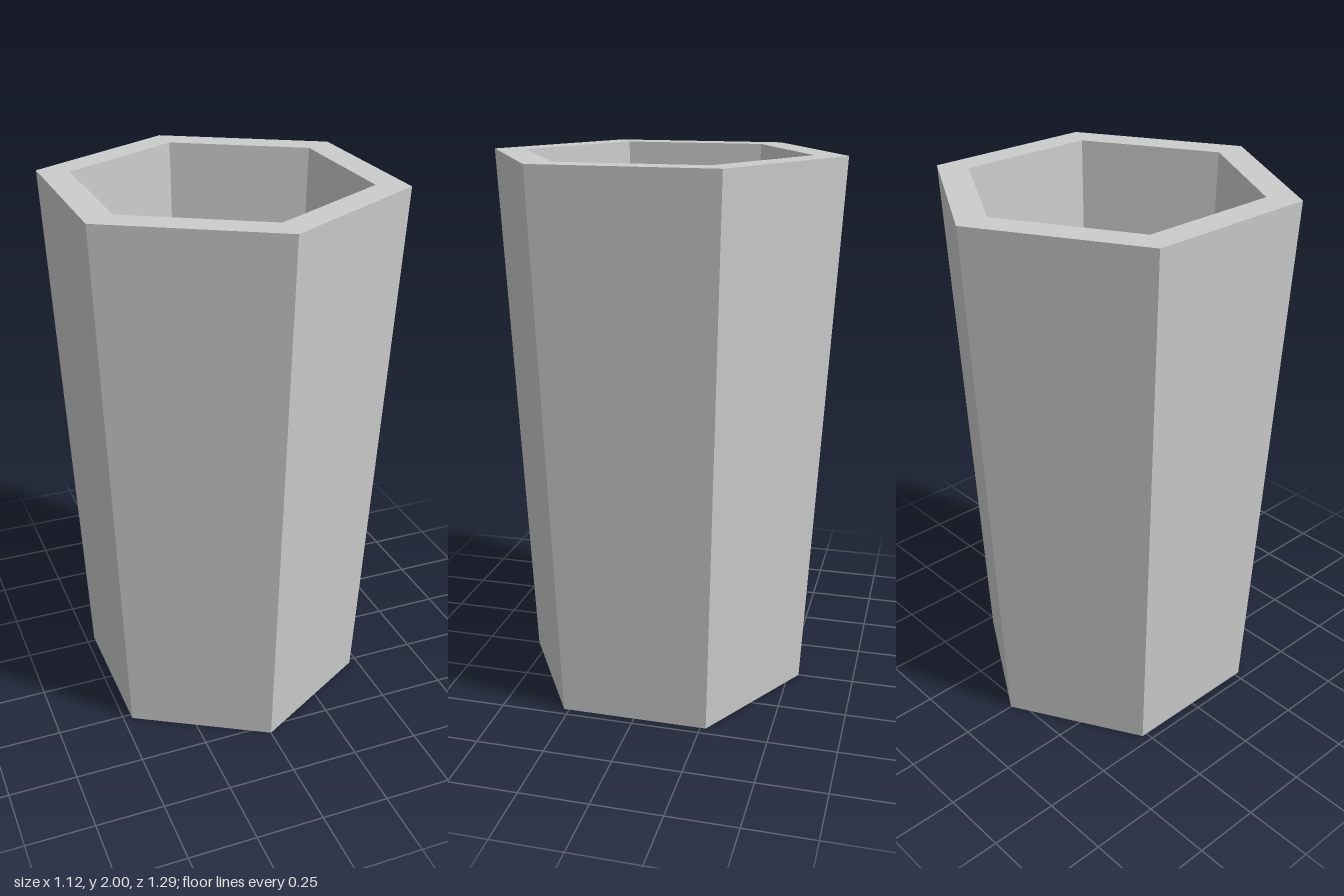
import * as THREE from 'three';

export function createModel() {
  const model = new THREE.Group();
  model.name = 'hexagonalCup';

  // Profile from underside centre, up the outer wall, over the rim, down to the inner floor
  const profile = [
    [0, 0],
    [0.54, 0],
    [0.645, 2],
    [0.525, 2],
    [0.455, 0.25],
    [0, 0.25],
  ].map(([r, y]) => new THREE.Vector2(r, y));

  // Six sides, with corners on the z axis
  const cup = new THREE.Mesh(
    new THREE.LatheGeometry(profile, 6),
    new THREE.MeshStandardMaterial({ color: 0xcccccc, flatShading: true })
  );
  cup.name = 'cupBody';
  model.add(cup);

  return model;
}
